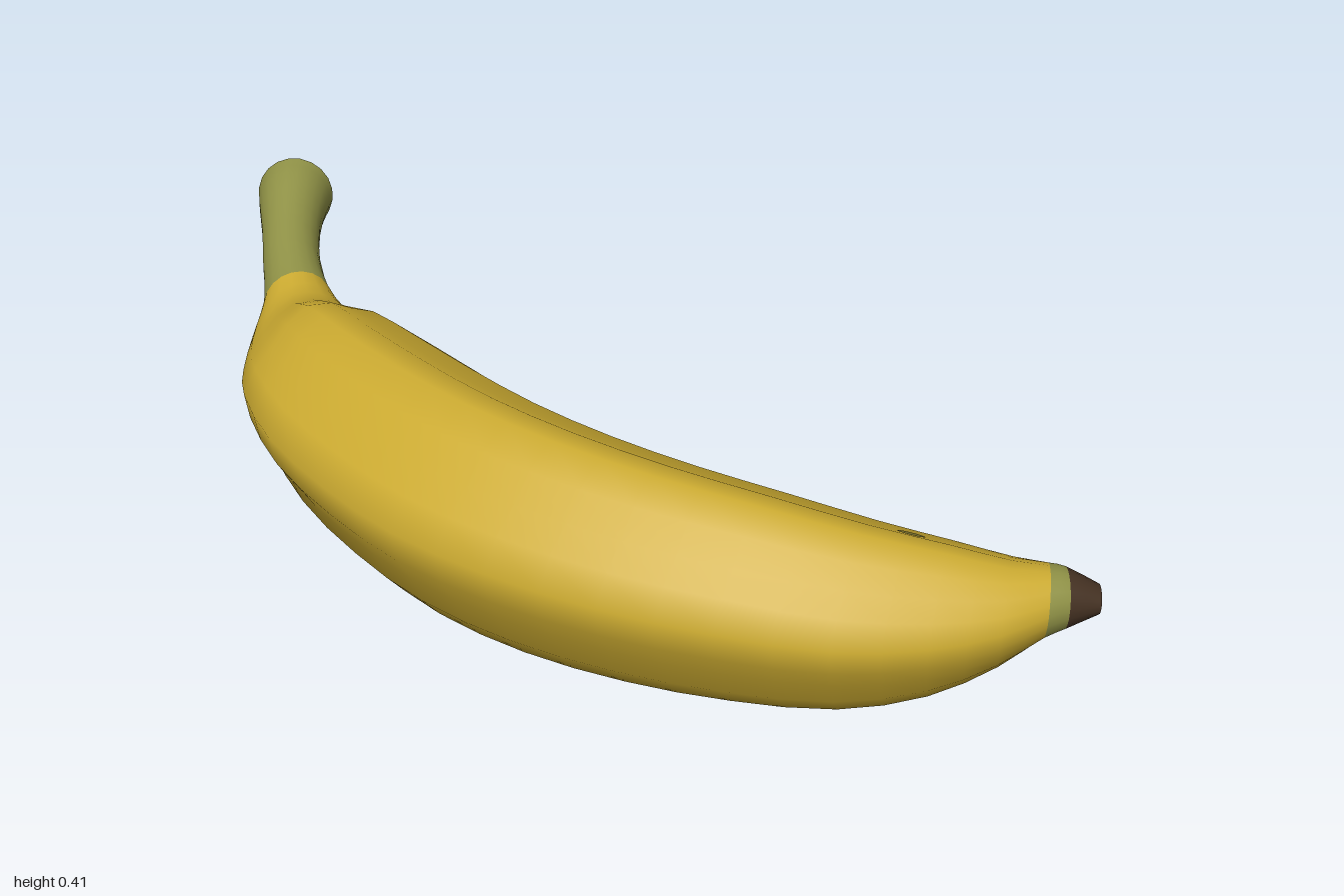
import * as THREE from 'three';

const SIDES = 20, STEP = 2, PHASE = THREE.MathUtils.degToRad(10);

// Stations from stem to tip: inner x, z, outer x, z, bottom, top
const STATIONS = [
  [-0.89, -0.345, -1.0, -0.24, 0.255, 0.415],
  [-0.865, -0.305, -0.965, -0.21, 0.255, 0.405],
  [-0.82, -0.245, -0.895, -0.155, 0.248, 0.375],
  [-0.75, -0.18, -0.82, -0.09, 0.225, 0.345],
  [-0.67, -0.135, -0.74, -0.02, 0.185, 0.32],
  [-0.61, -0.125, -0.69, 0.055, 0.13, 0.31],
  [-0.56, -0.122, -0.62, 0.14, 0.075, 0.332],
  [-0.47, -0.115, -0.53, 0.215, 0.045, 0.378],
  [-0.33, -0.098, -0.38, 0.285, 0.02, 0.398],
  [-0.17, -0.077, -0.19, 0.328, 0.006, 0.408],
  [0, -0.065, 0, 0.345, 0, 0.412],
  [0.17, -0.075, 0.2, 0.325, 0.004, 0.41],
  [0.33, -0.108, 0.4, 0.27, 0.013, 0.4],
  [0.48, -0.155, 0.58, 0.19, 0.024, 0.385],
  [0.62, -0.208, 0.74, 0.09, 0.04, 0.36],
  [0.74, -0.255, 0.85, -0.02, 0.075, 0.335],
  [0.83, -0.285, 0.92, -0.12, 0.13, 0.31],
  [0.88, -0.303, 0.955, -0.2, 0.175, 0.297],
  [0.905, -0.312, 0.972, -0.235, 0.188, 0.29],
  [0.965, -0.328, 1.0, -0.285, 0.218, 0.264],
];
const ROWS = (STATIONS.length - 1) * STEP + 1;

// Rounded pentagon, or a circle when lobe is 0, stretched to a -1..1 square
function section(lobe) {
  const pts = [];
  for (let j = 0; j < SIDES; j++) {
    const a = PHASE + (j / SIDES) * Math.PI * 2;
    const r = 1 + lobe * Math.cos(5 * (a - PHASE));
    pts.push(new THREE.Vector2(r * Math.cos(a), r * Math.sin(a)));
  }
  const box = new THREE.Box2().setFromPoints(pts);
  const mid = box.getCenter(new THREE.Vector2());
  const half = box.getSize(new THREE.Vector2()).multiplyScalar(0.5);
  return pts.map((p) => p.sub(mid).divide(half));
}

// Skin vertices for the whole fruit, so normals stay smooth across parts
function buildSkin() {
  const inner = new THREE.CatmullRomCurve3(STATIONS.map((s) => new THREE.Vector3(s[0], s[4], s[1])));
  const outer = new THREE.CatmullRomCurve3(STATIONS.map((s) => new THREE.Vector3(s[2], s[5], s[3])));
  const pos = [];
  for (let i = 0; i < ROWS; i++) {
    const t = i / (ROWS - 1), st = i / STEP;
    const a = inner.getPoint(t), b = outer.getPoint(t);
    const lobe = 0.075 * THREE.MathUtils.smoothstep(st, 4, 8) * (1 - THREE.MathUtils.smoothstep(st, 14, 18));
    for (const p of section(lobe)) {
      const u = (p.x + 1) / 2, v = (p.y + 1) / 2;
      pos.push(a.x + (b.x - a.x) * u, a.y + (b.y - a.y) * v, a.z + (b.z - a.z) * u);
    }
  }
  const geo = new THREE.BufferGeometry();
  geo.setAttribute('position', new THREE.Float32BufferAttribute(pos, 3));
  geo.setIndex(skinIndex(0, ROWS - 1));
  geo.computeVertexNormals();
  return geo;
}

function skinIndex(from, to) {
  const index = [];
  for (let i = from; i < to; i++) {
    for (let j = 0; j < SIDES; j++) {
      const k = (j + 1) % SIDES;
      const a = i * SIDES + j, b = i * SIDES + k;
      index.push(a, a + SIDES, b, b, a + SIDES, b + SIDES);
    }
  }
  return index;
}

export function createModel() {
  const group = new THREE.Group();
  const material = (name, color) => {
    const m = new THREE.MeshStandardMaterial({ color });
    m.name = name;
    return m;
  };
  const yellow = material('yellow peel', 0xccab31);
  const olive = material('olive green', 0x8f9146);
  const brown = material('dark brown', 0x443122);
  const bruise = material('bruise', 0x7d732c);

  const add = (name, geo, mat) => {
    const mesh = new THREE.Mesh(geo, mat);
    mesh.name = name;
    group.add(mesh);
    return mesh;
  };

  // Lengthwise parts cut from the one skin
  const skin = buildSkin();
  const part = (name, from, to, mat) => {
    const geo = new THREE.BufferGeometry();
    geo.setAttribute('position', skin.attributes.position.clone());
    geo.setAttribute('normal', skin.attributes.normal.clone());
    geo.setIndex(skinIndex(from * STEP, to * STEP));
    add(name, geo, mat);
  };
  part('stem', 0, 4, olive);
  part('peel', 4, 17, yellow);
  part('tipRing', 17, 18, olive);
  part('tip', 18, STATIONS.length - 1, brown);

  // Flat ends
  const vertex = (i, j) => new THREE.Vector3().fromBufferAttribute(skin.attributes.position, i * SIDES + j);
  const cap = (name, row, facesTip) => {
    const ring = [], centre = new THREE.Vector3(), index = [];
    for (let j = 0; j < SIDES; j++) {
      ring.push(vertex(row, j));
      centre.addScaledVector(ring[j], 1 / SIDES);
      const k = (j + 1) % SIDES;
      index.push(SIDES, facesTip ? k : j, facesTip ? j : k);
    }
    const geo = new THREE.BufferGeometry().setFromPoints([...ring, centre]);
    geo.setIndex(index);
    geo.computeVertexNormals();
    add(name, geo, brown);
  };
  cap('stemEnd', 0, false);
  cap('tipEnd', ROWS - 1, true);

  // Small bruises lying on the peel
  const spot = (row, side, length, width) => {
    const normal = new THREE.Vector3().fromBufferAttribute(skin.attributes.normal, row * SIDES + side);
    const along = vertex(row + 1, side).sub(vertex(row - 1, side)).normalize();
    const across = new THREE.Vector3().crossVectors(normal, along).normalize();
    along.crossVectors(across, normal);
    const mesh = add('bruise', new THREE.CircleGeometry(1, 12).scale(length, width, 1), bruise);
    mesh.quaternion.setFromRotationMatrix(new THREE.Matrix4().makeBasis(along, across, normal));
    mesh.position.copy(vertex(row, side)).addScaledVector(normal, 0.003);
  };
  spot(29, 5, 0.024, 0.01);
  spot(30, 13, 0.018, 0.014);
  spot(15, 8, 0.007, 0.006);

  return group;
}
